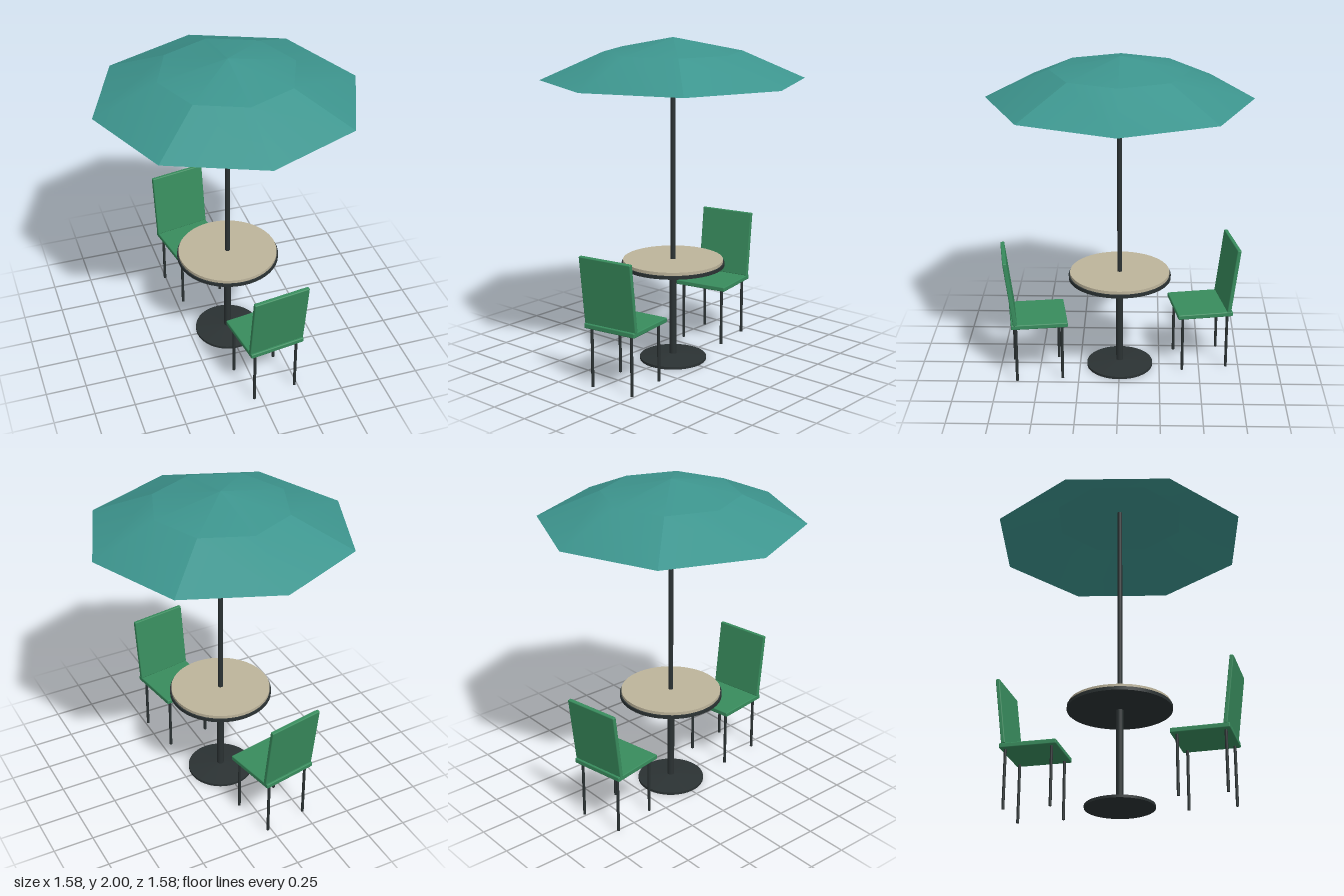
import * as THREE from 'three';
import { RoundedBoxGeometry } from 'three/addons/geometries/RoundedBoxGeometry.js';

function material(name, color, side = THREE.FrontSide) {
  const m = new THREE.MeshStandardMaterial({ color, side });
  m.name = name;
  return m;
}

function add(parent, name, geometry, mat, x = 0, y = 0, z = 0) {
  const mesh = new THREE.Mesh(geometry, mat);
  mesh.name = name;
  mesh.position.set(x, y, z);
  parent.add(mesh);
  return mesh;
}

export function createModel() {
  const model = new THREE.Group();
  model.name = 'patioSet';
  const teal = material('canopyTeal', 0x3d958e, THREE.DoubleSide);
  const green = material('chairGreen', 0x388c5d);
  const beige = material('tabletopBeige', 0xbdb49b);
  const dark = material('darkMetal', 0x2b3233);

  // A cylinder given by its bottom and top heights
  const rod = (parent, name, radius, y0, y1, mat, sides = 16, x = 0, z = 0, topRadius = radius) =>
    add(parent, name, new THREE.CylinderGeometry(topRadius, radius, y1 - y0, sides), mat, x, (y0 + y1) / 2, z);

  // Table
  const table = new THREE.Group();
  table.name = 'table';
  model.add(table);
  rod(table, 'baseDisc', 0.207, 0, 0.016, dark, 40);
  rod(table, 'baseCone', 0.207, 0.016, 0.034, dark, 40, 0, 0, 0.03);
  rod(table, 'pedestal', 0.022, 0.02, 0.61, dark);
  rod(table, 'tableRim', 0.316, 0.605, 0.626, dark, 48);
  rod(table, 'tabletop', 0.307, 0.626, 0.645, beige, 48);

  // Umbrella: an eight-sided cap and a band in four creased quarters
  const umbrella = new THREE.Group();
  umbrella.name = 'umbrella';
  model.add(umbrella);
  rod(umbrella, 'pole', 0.015, 0.64, 1.97, dark);
  const ring = new THREE.Vector2(0.412, 1.918);
  add(umbrella, 'canopyCap', new THREE.LatheGeometry([ring, new THREE.Vector2(0, 2)], 8), teal);
  for (let i = 0; i < 4; i++) {
    const band = new THREE.LatheGeometry(
      [new THREE.Vector2(0.79, 1.752), ring], 2, -Math.PI / 4 + (i * Math.PI) / 2, Math.PI / 2);
    band.computeVertexNormals();
    add(umbrella, 'canopyBand', band, teal);
  }

  // Chairs face the table; their backs point along local +z
  for (const [name, angle] of [['frontChair', 0.145], ['backChair', Math.PI + 0.18]]) {
    const chair = new THREE.Group();
    chair.name = name;
    chair.rotation.y = angle;
    model.add(chair);
    add(chair, 'seat', new RoundedBoxGeometry(0.352, 0.03, 0.346, 2, 0.006), green, 0, 0.379, 0.513);
    const back = add(chair, 'backrest', new RoundedBoxGeometry(0.356, 0.418, 0.025, 2, 0.006), green, 0, 0.598, 0.687);
    back.rotation.x = 0.125;
    for (const x of [-0.139, 0.139]) {
      for (const z of [-0.141, 0.141]) rod(chair, 'leg', 0.009, 0, 0.37, dark, 12, x, 0.516 + z);
    }
  }
  return model;
}
